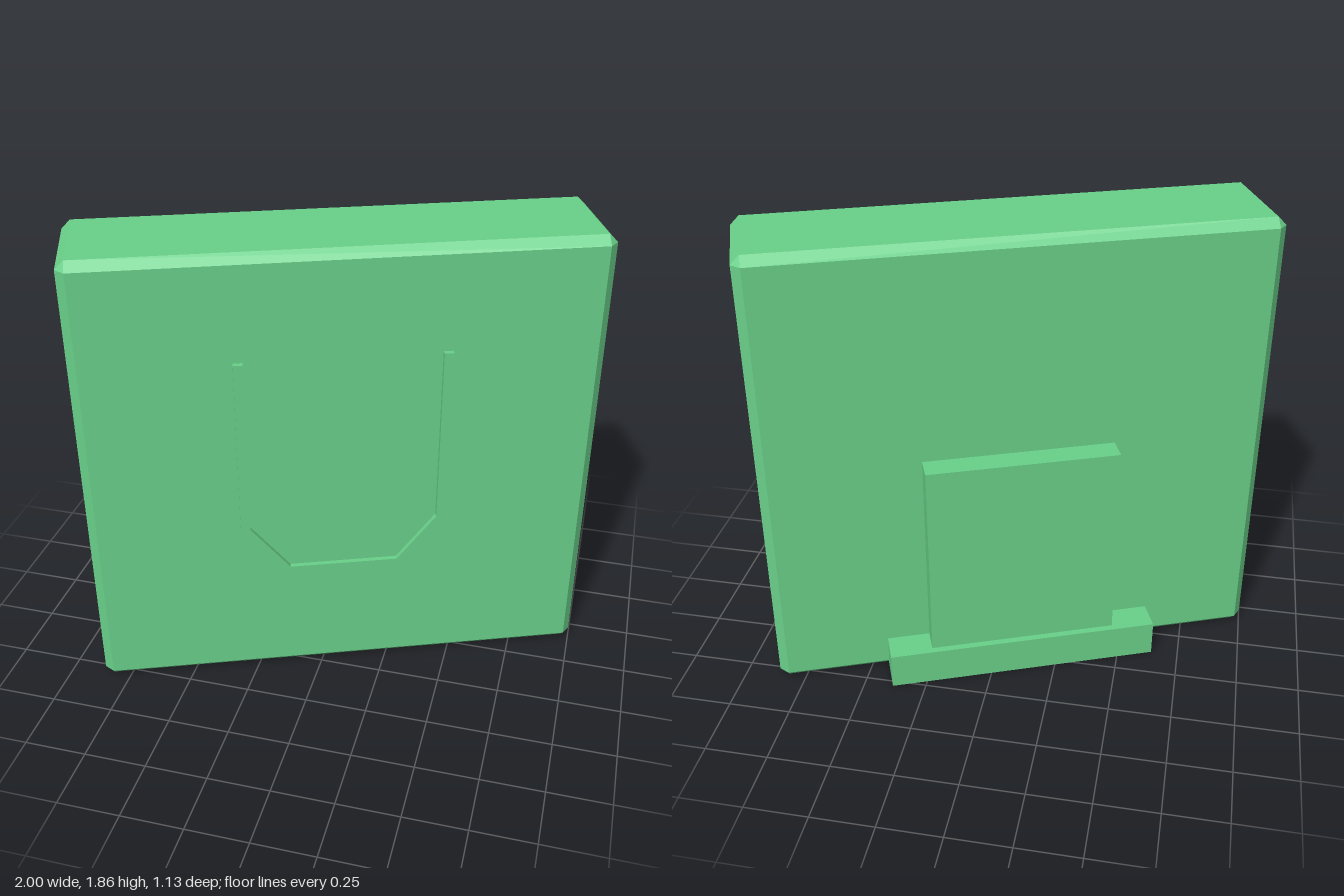
import * as THREE from 'three';
import { ConvexGeometry } from 'three/addons/geometries/ConvexGeometry.js';

// Box with flat chamfers on every edge, centred on the origin
function chamferedBox(w, h, d, c) {
  const x = w / 2, y = h / 2, z = d / 2, points = [];
  for (const i of [-1, 1]) for (const j of [-1, 1]) for (const k of [-1, 1]) {
    points.push(
      new THREE.Vector3(i * x, j * (y - c), k * (z - c)),
      new THREE.Vector3(i * (x - c), j * y, k * (z - c)),
      new THREE.Vector3(i * (x - c), j * (y - c), k * z)
    );
  }
  return new ConvexGeometry(points);
}

export function createModel() {
  const model = new THREE.Group();
  model.name = 'standingPanel';
  const green = new THREE.MeshStandardMaterial({ color: 0x69d089 });
  green.name = 'green';

  // Everything is turned together about the vertical axis
  const turned = new THREE.Group();
  turned.name = 'turnedPanel';
  turned.rotation.y = THREE.MathUtils.degToRad(21.6);
  model.add(turned);

  const add = (name, geometry, x, y, z) => {
    const mesh = new THREE.Mesh(geometry, green);
    mesh.name = name;
    mesh.position.set(x, y, z);
    turned.add(mesh);
  };

  // Thick slab
  add('body', chamferedBox(1.994, 1.855, 0.456, 0.034), 0, 0.9275, 0);

  // Rear support and its foot
  add('rearSupport', new THREE.BoxGeometry(0.756, 0.85, 0.14), 0, 0.56, -0.253);
  add('foot', new THREE.BoxGeometry(1.1, 0.15, 0.17), 0, 0.075, -0.265);

  // Raised open-topped outline on the front
  const outer = [[0.407, 1.44], [0.407, 0.7], [0.235, 0.485]];
  const inner = [[0.215, 0.52], [0.37, 0.715], [0.37, 1.44]];
  const mirror = (pts) => pts.map(([x, y]) => [-x, y]).reverse();
  const outline = [...outer, ...mirror(outer), ...mirror(inner), ...inner];
  const shape = new THREE.Shape(outline.map(([x, y]) => new THREE.Vector2(x, y)));
  add('frontOutline', new THREE.ExtrudeGeometry(shape, { depth: 0.03, bevelEnabled: false }), 0, 0, 0.218);

  return model;
}
